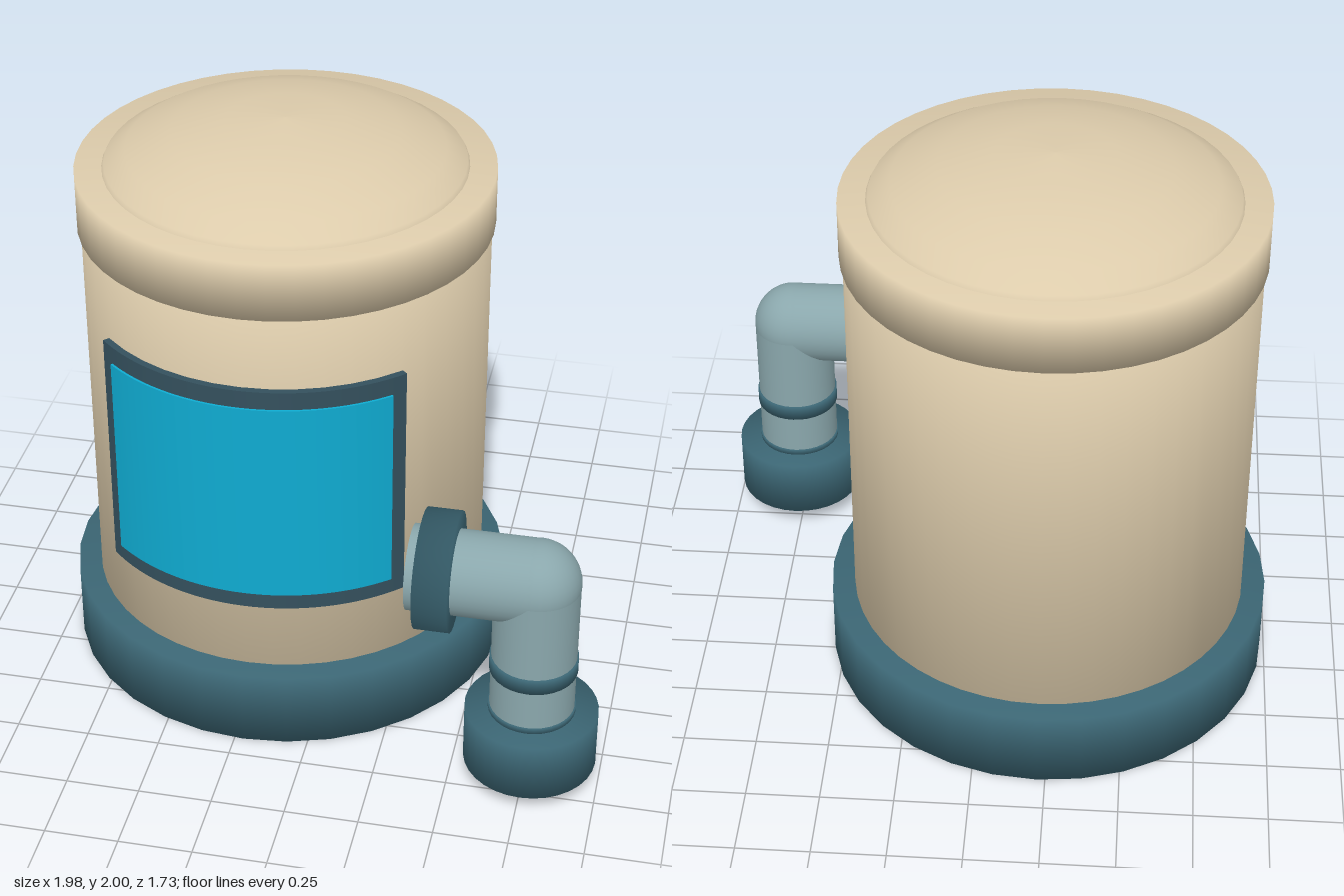
import * as THREE from 'three';
import { toCreasedNormals } from 'three/addons/utils/BufferGeometryUtils.js';

const material = (name, color) => {
  const m = new THREE.MeshStandardMaterial({ color });
  m.name = name;
  return m;
};

export function createModel() {
  const cream = material('cream', 0xdccbab);
  const teal = material('teal', 0x3b6573);
  const slate = material('slate', 0x34505d);
  const cyan = material('cyan', 0x0fabd1);
  const steel = material('steel', 0x8aa7ac);

  const model = new THREE.Group();
  model.name = 'storageTank';

  const add = (parent, name, geometry, mat) => {
    const mesh = new THREE.Mesh(geometry, mat);
    mesh.name = name;
    parent.add(mesh);
    return mesh;
  };

  // Solid of revolution with softly blended normals; profile runs bottom to top
  const turned = (points, segments) =>
    new THREE.LatheGeometry(points.map(([r, y]) => new THREE.Vector2(r, y)), segments);
  const drum = (radius, y0, y1, segments = 32) =>
    turned([[0, y0], [radius, y0], [radius, y1], [0, y1]], segments);

  // Curved slab wrapped round the front of the tank
  const curvedPanel = (inner, outer, halfAngle, y0, y1) => {
    const mid = Math.PI / 2;
    const shape = new THREE.Shape();
    shape.absarc(0, 0, outer, mid - halfAngle, mid + halfAngle, false);
    shape.absarc(0, 0, inner, mid + halfAngle, mid - halfAngle, true);
    shape.closePath();
    const geometry = new THREE.ExtrudeGeometry(shape, {
      depth: y1 - y0, bevelEnabled: false, curveSegments: 16,
    });
    geometry.rotateX(Math.PI / 2).translate(0, y1, 0);
    return toCreasedNormals(geometry, 0.5);
  };

  // Tank
  const tank = new THREE.Group();
  tank.name = 'tank';
  tank.position.set(-0.22, 0, -0.1);
  model.add(tank);
  add(tank, 'base', drum(0.768, 0, 0.272), teal);
  add(tank, 'body', drum(0.687, 0.25, 1.66, 48), cream);
  add(tank, 'lidRim', drum(0.699, 1.64, 1.84, 48), cream);
  add(tank, 'lidDome', turned([
    [0.61, 1.835], [0.6, 1.855], [0.53, 1.898], [0.38, 1.954], [0.2, 1.989], [0, 2],
  ], 48), cream);
  add(tank, 'panelFrame', curvedPanel(0.675, 0.71, 0.791, 0.53, 1.383), slate);
  add(tank, 'panelScreen', curvedPanel(0.7, 0.718, 0.714, 0.59, 1.32), cyan);

  // Elbow pipe; the group origin lies on the vertical pipe's axis
  const pipe = new THREE.Group();
  pipe.name = 'elbowPipe';
  pipe.position.set(0.765, 0, 0.64);
  model.add(pipe);
  const r = 0.142;
  const bendY = 0.802;
  add(pipe, 'foot', drum(0.223, 0.08, 0.29), teal);
  add(pipe, 'verticalPipe', new THREE.CylinderGeometry(r, r, 0.52, 32).translate(0, 0.54, 0), steel);
  add(pipe, 'lowerBand', drum(0.146, 0.285, 0.31), teal);
  add(pipe, 'middleBand', drum(0.147, 0.455, 0.51), teal);
  add(pipe, 'elbow', new THREE.SphereGeometry(0.143, 32, 20).translate(0, bendY, 0), steel);

  // Horizontal arm, turned along -x
  const arm = new THREE.Group();
  arm.name = 'horizontalArm';
  arm.position.y = bendY;
  arm.rotation.z = Math.PI / 2;
  pipe.add(arm);
  add(arm, 'horizontalPipe', new THREE.CylinderGeometry(r, r, 0.415, 32).translate(0, 0.2075, 0), steel);
  add(arm, 'collar', drum(0.2, 0.265, 0.38), teal);

  return model;
}
